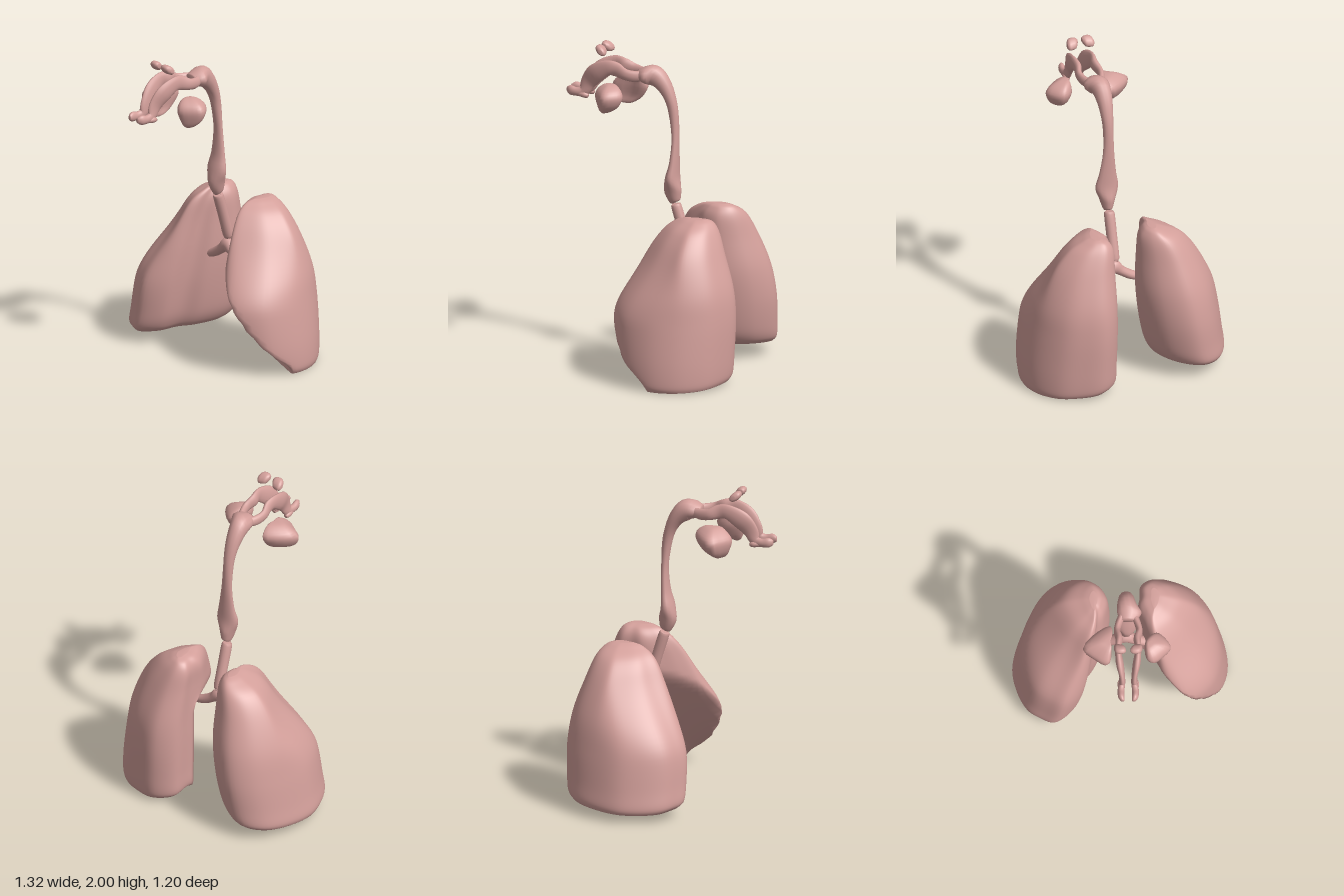
import * as THREE from 'three';

const material = new THREE.MeshStandardMaterial({ color: 0xd4a09b });
const V = (x, y, z) => new THREE.Vector3(x, y, z);
const { smoothstep } = THREE.MathUtils;

// Smooth interpolation through rows of numbers, `steps` per interval
function smoothRows(rows, steps) {
  const out = [];
  const n = rows.length - 1;
  for (let i = 0; i < n; i++) {
    const [a, b, c, d] = [rows[Math.max(i - 1, 0)], rows[i], rows[i + 1], rows[Math.min(i + 2, n)]];
    for (let s = 0; s < steps; s++) {
      const t = s / steps;
      out.push(b.map((p, k) => p + 0.5 * t * (c[k] - a[k]
        + t * (2 * a[k] - 5 * p + 4 * c[k] - d[k] + t * (3 * (p - c[k]) + d[k] - a[k])))));
    }
  }
  out.push(rows[n]);
  return out;
}

const centre = (ring) => ring.reduce((s, p) => s.add(p), V(0, 0, 0)).divideScalar(ring.length);

// Skin a list of rings into a closed smooth surface that faces outward
function loft(name, rings) {
  const n = rings[0].length;
  const points = [...rings.flat(), centre(rings[0]), centre(rings[rings.length - 1])];
  const first = points.length - 2, last = points.length - 1, end = (rings.length - 1) * n;
  const tris = [];
  for (let j = 0; j < n; j++) {
    const k = (j + 1) % n;
    tris.push([first, k, j], [last, end + j, end + k]);
    for (let i = 0; i < end; i += n) {
      tris.push([i + j, i + k, i + n + j], [i + k, i + n + k, i + n + j]);
    }
  }
  const volume = tris.reduce((s, [a, b, c]) => s + points[a].dot(points[b].clone().cross(points[c])), 0);
  if (volume < 0) tris.forEach((t) => t.reverse());
  const geometry = new THREE.BufferGeometry().setFromPoints(points);
  geometry.setIndex(tris.flat());
  geometry.computeVertexNormals();
  const mesh = new THREE.Mesh(geometry, material);
  mesh.name = name;
  return mesh;
}

// Tube of varying oval section; rows are [x, y, z, radius along side, radius across]
function airway(name, rows, side, steps = 4, sides = 14) {
  const path = smoothRows(rows, steps);
  const at = (i) => V(...path[Math.min(Math.max(i, 0), path.length - 1)]);
  const rings = path.map(([x, y, z, ra, rb], i) => {
    const across = at(i + 1).sub(at(i - 1)).cross(side).normalize();
    return Array.from({ length: sides }, (_, j) => {
      const a = (j / sides) * Math.PI * 2;
      return V(x, y, z).addScaledVector(side, Math.cos(a) * ra).addScaledVector(across, Math.sin(a) * rb);
    });
  });
  return loft(name, rings);
}

// Lung: an outline (u medial to lateral, w back to front) fitted to
// levels of [height, medial x, lateral x, back z, front z]
function lung(name, outline, levels, reshape) {
  const curve = new THREE.CatmullRomCurve3(outline.map(([u, w]) => V(u, 0, w)), true);
  const uv = curve.getPoints(72).slice(0, -1);
  const rings = smoothRows(levels, 6).map(([y, xm, xl, zb, zf]) => uv.map((p) => {
    // The outer front corner is slimmer toward the top
    const slim = 0.14 * smoothstep(y, 0.4, 0.85) * smoothstep(p.x + p.z, 1.2, 1.75);
    return reshape(V(xm + (xl - xm) * (p.x - slim), y, zb + (zf - zb) * (p.z - slim)));
  }));
  // Hollow underside
  const base = rings[rings.length - 1], c = centre(base);
  for (const [s, lift] of [[0.85, 0.005], [0.6, 0.03], [0.3, 0.05]]) {
    rings.push(base.map((p) => p.clone().lerp(c, 1 - s).add(V(0, lift, 0))));
  }
  return loft(name, rings);
}

// Small rounded cavity from levels of [height, scale, shift x, shift z]
function sinus(name, outline, levels) {
  const curve = new THREE.CatmullRomCurve3(outline.map(([x, z]) => V(x, 0, z)), true);
  const pts = curve.getPoints(20).slice(0, -1);
  const c = centre(pts);
  return loft(name, smoothRows(levels, 3).map(([y, s, dx, dz]) =>
    pts.map((p) => p.clone().sub(c).multiplyScalar(s).add(c).add(V(dx, y, dz)))));
}

export function createModel() {
  const group = new THREE.Group();
  group.name = 'respiratorySystem';
  const X = V(1, 0, 0), Z = V(0, 0, 1), sloped = V(0, 0.64, 0.77);

  // Left lung, its lower front scooped away beneath a slanting edge
  const scoop = (p) => {
    const edge = 0.28 + 0.55 * Math.pow(Math.max(0.62 - p.x, 0) / 0.47, 1.3);
    const t = smoothstep(p.y, edge - 0.26, edge + 0.06);
    const wall = -0.38 + 0.33 * p.x + 0.46 * t;
    // Blend softly between the outer surface and the scooped wall
    const over = p.z - wall;
    p.z -= 0.5 * (over + Math.sqrt(over * over + 0.0006));
    p.y += 0.07 * (0.5 - p.x) * Math.pow(1 - Math.min(p.y, 1), 6);
    return p;
  };
  group.add(lung('leftLung',
    [[0.04, 0.12], [0.24, 0], [0.52, 0.03], [0.75, 0.12], [0.94, 0.32], [1, 0.56], [0.9, 0.82],
      [0.58, 1], [0.36, 0.95], [0.22, 0.83], [0.12, 0.7], [0, 0.48], [0.03, 0.3]],
    [[1.01, 0.19, 0.24, -0.38, -0.24], [0.99, 0.14, 0.3, -0.42, -0.17], [0.93, 0.11, 0.4, -0.46, -0.085],
      [0.8, 0.11, 0.503, -0.51, 0.01], [0.6, 0.11, 0.583, -0.575, 0.1], [0.42, 0.11, 0.62, -0.595, 0.145],
      [0.2, 0.115, 0.65, -0.59, 0.13], [0.06, 0.12, 0.655, -0.58, 0.1], [0.015, 0.15, 0.64, -0.56, 0.06]],
    scoop));

  // Right lung, its underside rising toward the middle
  const rise = (p) => {
    p.y += Math.pow(1 - Math.min(p.y, 1), 6) * (0.12 * (p.x + 0.62) - 0.04 * p.z);
    return p;
  };
  group.add(lung('rightLung',
    [[0.05, 0.23], [0.2, 0.09], [0.48, 0], [0.73, 0.08], [0.9, 0.26], [1, 0.52], [0.95, 0.71],
      [0.82, 0.88], [0.65, 0.96], [0.48, 1], [0.27, 0.88], [0.21, 0.71], [0.08, 0.58], [0, 0.36]],
    [[1.01, -0.14, -0.19, -0.36, -0.23], [0.99, -0.11, -0.25, -0.41, -0.16], [0.93, -0.08, -0.37, -0.46, -0.07],
      [0.8, -0.07, -0.475, -0.51, 0.01], [0.6, -0.065, -0.57, -0.575, 0.1],
      [0.4, -0.085, -0.615, -0.6, 0.16], [0.2, -0.12, -0.645, -0.59, 0.17], [0.1, -0.16, -0.66, -0.575, 0.165],
      [0.06, -0.2, -0.65, -0.545, 0.13]], rise));

  // Windpipe and its two branches
  group.add(airway('trachea', [[0.035, 1.03, -0.105, 0.022, 0.022], [0.035, 1.015, -0.11, 0.033, 0.033],
    [0.035, 0.88, -0.152, 0.033, 0.033], [0.035, 0.75, -0.19, 0.033, 0.033], [0.035, 0.735, -0.195, 0.022, 0.022]], X));
  group.add(airway('bronchi', [[-0.14, 0.58, -0.185, 0.025, 0.025], [-0.07, 0.61, -0.185, 0.032, 0.029],
    [-0.01, 0.65, -0.185, 0.034, 0.031], [0.035, 0.683, -0.185, 0.036, 0.044], [0.08, 0.65, -0.185, 0.034, 0.031],
    [0.14, 0.61, -0.185, 0.032, 0.029], [0.21, 0.585, -0.185, 0.025, 0.025]], Z));

  // Voice box and throat, arching forward
  group.add(airway('throat', [[0.042, 1.045, -0.105, 0.022, 0.03], [0.042, 1.06, -0.1, 0.032, 0.04],
    [0.042, 1.12, -0.088, 0.05, 0.055], [0.044, 1.2, -0.088, 0.074, 0.04], [0.043, 1.3, -0.1, 0.055, 0.026],
    [0.038, 1.45, -0.105, 0.036, 0.022], [0.036, 1.6, -0.092, 0.033, 0.03], [0.036, 1.7, -0.068, 0.04, 0.036],
    [0.036, 1.78, -0.025, 0.05, 0.05], [0.04, 1.83, 0.03, 0.06, 0.066], [0.055, 1.835, 0.08, 0.075, 0.055],
    [0.047, 1.83, 0.13, 0.05, 0.035]], X));

  // Paired nasal passages and the frontal sinuses above them
  for (const [s, label] of [[1, 'left'], [-1, 'right']]) {
    const x = (d) => 0.047 + s * d;
    group.add(airway(label + 'NasalPassage', [[x(0.03), 1.835, 0.08, 0.025, 0.03], [x(0.055), 1.83, 0.14, 0.022, 0.035],
      [x(0.068), 1.84, 0.2, 0.02, 0.036], [x(0.055), 1.86, 0.26, 0.023, 0.045], [x(0.062), 1.865, 0.32, 0.018, 0.048],
      [x(0.052), 1.82, 0.4, 0.024, 0.06], [x(0.038), 1.755, 0.455, 0.018, 0.05], [x(0.038), 1.695, 0.485, 0.02, 0.035],
      [x(0.044), 1.685, 0.53, 0.021, 0.027], [x(0.042), 1.69, 0.575, 0.02, 0.03], [x(0.034), 1.69, 0.6, 0.01, 0.015]], X));
    group.add(airway(label + 'LowerNasalPassage', [[x(0.045), 1.665, 0.455, 0.012, 0.012],
      [x(0.045), 1.672, 0.48, 0.022, 0.02], [x(0.042), 1.675, 0.52, 0.018, 0.016]], X));
    group.add(airway(label + 'FrontalSinus', [[x(0.015), 1.978, 0.375, 0.014, 0.012], [x(0.03), 1.972, 0.368, 0.034, 0.023],
      [x(0.055), 1.97, 0.365, 0.04, 0.025], [x(0.075), 1.968, 0.36, 0.035, 0.022], [x(0.086), 1.965, 0.355, 0.016, 0.012]], sloped));
  }

  // Cheek sinuses
  group.add(sinus('rightCheekSinus',
    [[-0.23, 0.27], [-0.16, 0.18], [-0.065, 0.13], [-0.05, 0.17], [-0.07, 0.25], [-0.06, 0.35], [-0.09, 0.37], [-0.16, 0.33]],
    [[1.595, 0.15, 0.02, 0.03], [1.61, 0.45, 0.015, 0.025], [1.65, 0.78, 0, 0.01], [1.71, 1, 0, 0],
      [1.75, 0.85, 0.01, -0.01], [1.78, 0.5, 0.03, -0.01], [1.787, 0.2, 0.04, -0.01]]));
  group.add(sinus('leftCheekSinus',
    [[0.155, 0.22], [0.22, 0.17], [0.27, 0.2], [0.308, 0.265], [0.26, 0.32], [0.2, 0.36], [0.16, 0.34]],
    [[1.61, 0.15, -0.01, 0.03], [1.625, 0.45, -0.005, 0.02], [1.66, 0.78, 0, 0.005], [1.715, 1, 0, 0],
      [1.755, 0.85, -0.01, 0], [1.782, 0.5, -0.03, 0], [1.79, 0.2, -0.04, 0]]));

  return group;
}
